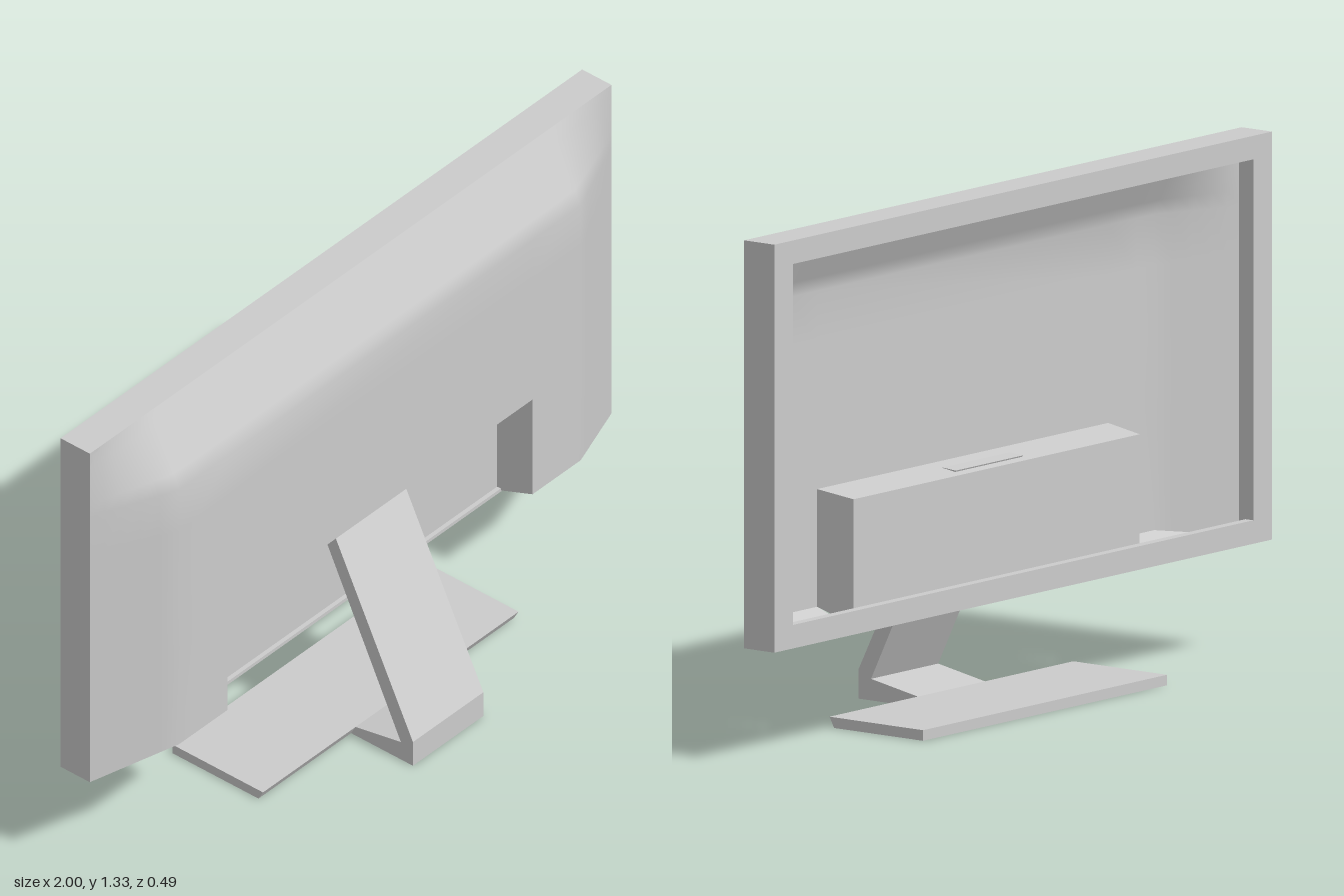
import * as THREE from 'three';

const grey = new THREE.MeshStandardMaterial({ color: 0xcccccc });
const thin = new THREE.MeshStandardMaterial({ color: 0xcccccc, side: THREE.DoubleSide });

const TOP = 1.33, BOTTOM = 0.29, RIM_Z = -0.175, EDGE_Z = -0.078, FACE_Z = 0.019;
const RX = 0.585, RY = 0.625, PANEL_X = 0.575, PANEL_Y = 0.61, PANEL_Z = -0.09;

function add(parent, name, geometry, material = grey) {
  const mesh = new THREE.Mesh(geometry, material);
  mesh.name = name;
  parent.add(mesh);
  return mesh;
}

// Bulge of the housing: 1 over the flat middle, falling to 0 at the sides and top.
const sideFade = x => THREE.MathUtils.clamp((1 - Math.abs(x)) / 0.23, 0, 1);
const topFade = y => THREE.MathUtils.clamp((TOP - y) / 0.2, 0, 1);
const faceZ = (x, y) => EDGE_Z + (FACE_Z - EDGE_Z) * sideFade(x) * topFade(y);
const lowerY = x => BOTTOM + 0.035 * sideFade(x);

function buildGeometry(points, index) {
  const g = new THREE.BufferGeometry();
  g.setAttribute('position', new THREE.Float32BufferAttribute(points.flat(), 3));
  g.setIndex(index);
  g.computeVertexNormals();
  return g;
}

// Flat four-cornered panel, corners counter-clockwise from its front.
const quad = (a, b, c, d) => buildGeometry([a, b, c, d], [0, 1, 2, 0, 2, 3]);

// Smooth bulging cover with a notch left open for the stand recess.
function coverGeometry() {
  const half = [RX, 0.7, 0.77, 0.82, 0.87, 0.92, 0.96, 1];
  const xs = [...half.map(x => -x).reverse(), ...half];
  const ys = [0, RY, 0.8, 1, 1.13, 1.17, 1.21, 1.25, 1.29, TOP];
  const points = [], index = [];
  ys.forEach((y, j) => xs.forEach((x, i) => {
    const py = j === 0 ? lowerY(x) : y;
    points.push([x, py, faceZ(x, py)]);
    const notch = j === 0 && i === half.length - 1;
    if (i < xs.length - 1 && j < ys.length - 1 && !notch) {
      const a = j * xs.length + i, b = a + 1, d = a + xs.length, c = d + 1;
      index.push(a, b, c, a, c, d);
    }
  }));
  return buildGeometry(points, index);
}

// Sloping underside of the bulge on one side of the recess.
function undersideGeometry(side) {
  const points = [], index = [];
  [RX, 0.77, 0.82, 0.87, 0.92, 0.96, 1].forEach((x, i) => {
    points.push([side * x, BOTTOM, EDGE_Z], [side * x, lowerY(x), faceZ(x, lowerY(x))]);
    if (i > 0) {
      const a = 2 * i - 2;
      index.push(...(side > 0 ? [a, a + 2, a + 3, a, a + 3, a + 1] : [a, a + 3, a + 2, a, a + 1, a + 3]));
    }
  });
  return buildGeometry(points, index);
}

// Rectangular frame of a given border, running from z0 to z1.
function frameGeometry(bx, by, z0, z1) {
  const rect = (S, w, y0, y1) => {
    const s = new S();
    s.moveTo(-w, y0).lineTo(w, y0).lineTo(w, y1).lineTo(-w, y1).closePath();
    return s;
  };
  const shape = rect(THREE.Shape, 1, BOTTOM, TOP);
  shape.holes.push(rect(THREE.Path, 1 - bx, BOTTOM + by, TOP - by));
  return new THREE.ExtrudeGeometry(shape, { depth: z1 - z0, bevelEnabled: false }).translate(0, 0, z0);
}

// Side profile given as [z, y], extruded across the width.
function profileGeometry(profile, width) {
  const shape = new THREE.Shape(profile.map(([z, y]) => new THREE.Vector2(z, y)));
  return new THREE.ExtrudeGeometry(shape, { depth: width, bevelEnabled: false })
    .translate(0, 0, -width / 2)
    .rotateY(-Math.PI / 2);
}

export function createModel() {
  const model = new THREE.Group();
  model.name = 'monitor';

  // Housing: bulging cover, outer walls and the open bezel
  const housing = new THREE.Group();
  housing.name = 'housing';
  model.add(housing);
  add(housing, 'cover', coverGeometry(), thin);
  add(housing, 'outerWalls', frameGeometry(0.01, 0.01, RIM_Z, EDGE_Z));
  add(housing, 'bezel', frameGeometry(0.075, 0.06, RIM_Z, RIM_Z + 0.025));

  // Recess for the stand, slightly tapered inwards and open below
  const recess = new THREE.Group();
  recess.name = 'recess';
  model.add(recess);
  add(recess, 'recessPanel', quad(
    [-PANEL_X, BOTTOM, PANEL_Z], [PANEL_X, BOTTOM, PANEL_Z],
    [PANEL_X, PANEL_Y, PANEL_Z], [-PANEL_X, PANEL_Y, PANEL_Z]), thin);
  add(recess, 'recessCeiling', quad(
    [-PANEL_X, PANEL_Y, PANEL_Z], [PANEL_X, PANEL_Y, PANEL_Z],
    [RX, RY, FACE_Z], [-RX, RY, FACE_Z]), thin);
  for (const side of [1, -1]) {
    const label = side > 0 ? 'left' : 'right';
    add(housing, label + 'Underside', undersideGeometry(side), thin);
    const wall = [
      [side * PANEL_X, BOTTOM, PANEL_Z], [side * RX, lowerY(RX), FACE_Z],
      [side * RX, RY, FACE_Z], [side * PANEL_X, PANEL_Y, PANEL_Z]];
    add(recess, label + 'RecessWall', quad(...(side > 0 ? wall.reverse() : wall)), thin);
  }

  // Stand: leaning neck with folded foot, and the wide base plate
  const stand = new THREE.Group();
  stand.name = 'stand';
  model.add(stand);
  add(stand, 'neck', profileGeometry([
    [0.245, 0], [0.245, 0.075], [-0.025, 0.62], [-0.067, 0.617],
    [0.205, 0.055], [0.055, 0.027], [0.04, 0]], 0.27));
  add(stand, 'basePlate', profileGeometry([
    [-0.245, 0], [0.04, 0], [0.055, 0.027], [-0.245, 0.027]], 0.98));

  return model;
}
